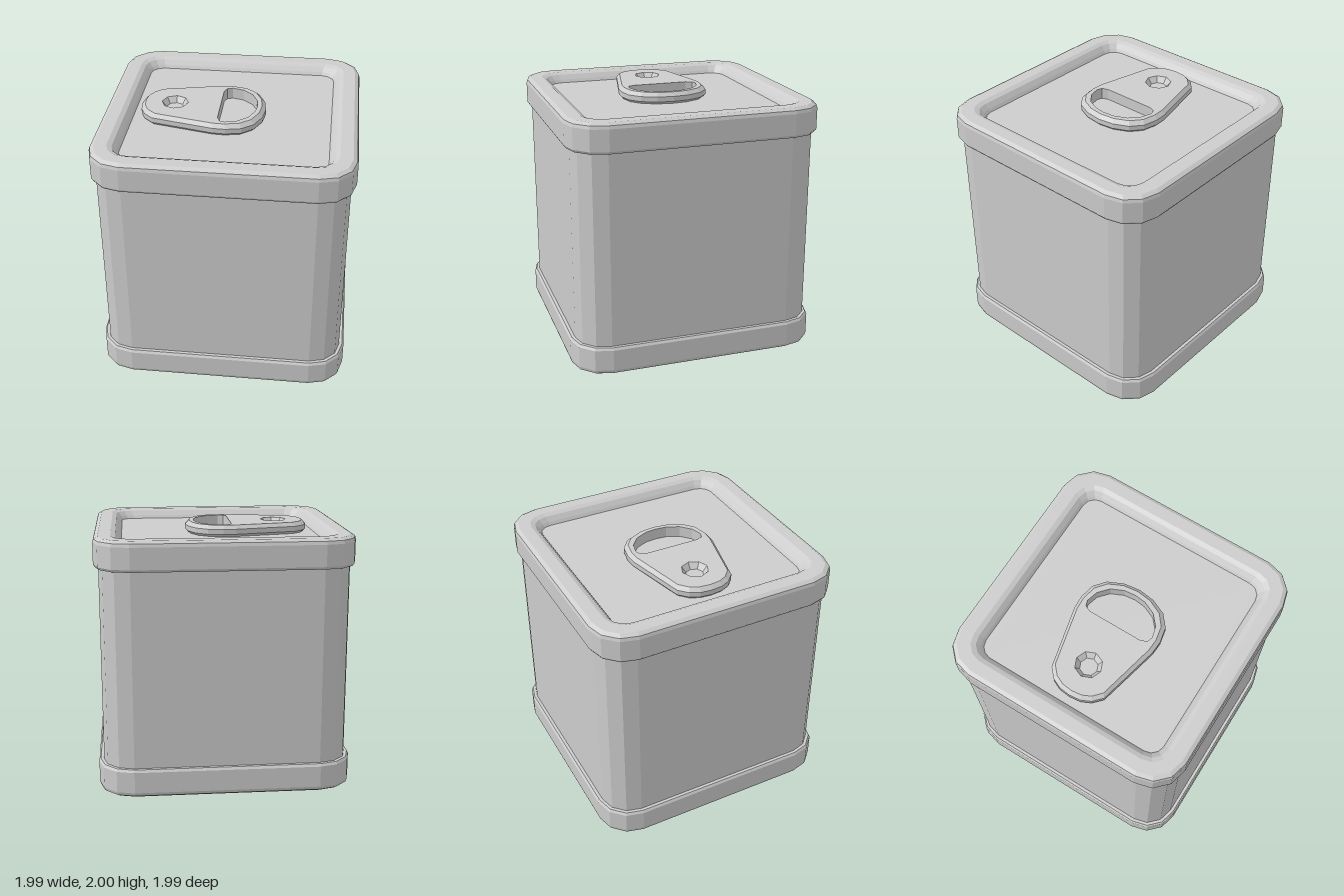
import * as THREE from 'three';

const metal = new THREE.MeshStandardMaterial({ color: 0xcccccc });
metal.name = 'tin grey';

// Rounded square, counter-clockwise seen from above, as [x, -z] points.
function roundedSquare(half, radius, segments = 3) {
  const points = [];
  const c = half - radius;
  for (let corner = 0; corner < 4; corner++) {
    const start = corner * Math.PI / 2;
    const cx = c * (corner === 0 || corner === 3 ? 1 : -1);
    const cy = c * (corner < 2 ? 1 : -1);
    for (let i = 0; i <= segments; i++) {
      const a = start + i / segments * Math.PI / 2;
      points.push([cx + radius * Math.cos(a), cy + radius * Math.sin(a)]);
    }
  }
  return points;
}

// Faceted skin through closed rings of { points, y }.
function loft(rings) {
  const pos = [];
  const at = (i, j) => {
    const r = rings[i];
    const p = r.points[j % r.points.length];
    return [p[0], r.y, -p[1]];
  };
  for (let i = 0; i < rings.length - 1; i++) {
    for (let j = 0; j < rings[i].points.length; j++) {
      const a = at(i, j), b = at(i, j + 1), c = at(i + 1, j + 1), d = at(i + 1, j);
      pos.push(...a, ...b, ...c, ...a, ...c, ...d);
    }
  }
  const geometry = new THREE.BufferGeometry();
  geometry.setAttribute('position', new THREE.Float32BufferAttribute(pos, 3));
  geometry.computeVertexNormals();
  return geometry;
}

// Flat horizontal face, optionally with holes, facing up or down.
function cap(points, y, holes = [], up = true) {
  const vectors = list => list.map(p => new THREE.Vector2(p[0], p[1]));
  const shape = new THREE.Shape(vectors(points));
  holes.forEach(h => shape.holes.push(new THREE.Path(vectors(h))));
  return new THREE.ShapeGeometry(shape).rotateX(up ? -Math.PI / 2 : Math.PI / 2).translate(0, y, 0);
}

// Completes an outline from its half, listed from the right end to the left end.
function mirrorHalf(half) {
  const back = half.filter(p => p[1] > 0).reverse().map(([x, y]) => [x, -y]);
  return [...half, ...back];
}

function add(group, name, geometry) {
  const mesh = new THREE.Mesh(geometry, metal);
  mesh.name = name;
  group.add(mesh);
}

export function createModel() {
  const tin = new THREE.Group();
  tin.name = 'squareTin';

  // Rim cross-section from body wall to recessed panel: half width, corner radius, height above panel end
  const rim = [
    [0.955, 0.235, 1.76], [0.98, 0.26, 1.76], [0.993, 0.273, 1.78], [0.993, 0.273, 1.945],
    [0.985, 0.265, 1.97], [0.955, 0.24, 1.988], [0.86, 0.16, 1.988], [0.825, 0.135, 1.972],
    [0.795, 0.115, 1.935], [0.78, 0.105, 1.91],
  ];
  const rimRings = rim.map(([half, radius, y]) => ({ points: roundedSquare(half, radius), y }));
  const baseRings = rim.map(([half, radius, y]) => ({
    points: roundedSquare(half, radius),
    y: y < 1.8 ? 1.99 - y : 1.988 - y,
  })).reverse();

  // Can body, rims and recessed panels
  const wall = roundedSquare(0.955, 0.235);
  add(tin, 'body', loft([{ points: wall, y: 0.2 }, { points: wall, y: 1.8 }]));
  add(tin, 'lidRim', loft(rimRings));
  add(tin, 'baseRim', loft(baseRings));
  const panel = roundedSquare(0.78, 0.105);
  add(tin, 'lidPanel', cap(panel, 1.91));
  add(tin, 'basePanel', cap(panel, 0.078, [], false));

  // Pull tab with a finger slot and a dimpled rivet
  const tab = new THREE.Group();
  tab.name = 'pullTab';
  tin.add(tab);
  const outline = mirrorHalf([
    [0.262, 0], [0.245, 0.13], [0.19, 0.25], [0.1, 0.325], [-0.02, 0.35], [-0.12, 0.345],
    [-0.61, 0.23], [-0.68, 0.165], [-0.715, 0.09], [-0.725, 0],
  ]);
  const middle = -0.23;
  const inset = d => outline.map(([x, y]) => [
    middle + (x - middle) * (1 - d / 0.49), y * (1 - d / 0.35),
  ]);
  const slot = mirrorHalf([
    [0.195, 0], [0.185, 0.09], [0.14, 0.19], [0.06, 0.26], [-0.03, 0.285],
    [-0.075, 0.27], [-0.095, 0.22], [-0.095, 0],
  ]);
  const octagon = r => Array.from({ length: 8 }, (_, i) => [
    -0.46 + r * Math.cos(i * Math.PI / 4), r * Math.sin(i * Math.PI / 4),
  ]);
  add(tab, 'tabEdge', loft([
    { points: inset(0.02), y: 1.91 }, { points: inset(0), y: 1.93 },
    { points: inset(0), y: 1.97 }, { points: inset(0.03), y: 2 },
  ]));
  add(tab, 'tabTop', cap(inset(0.03), 2, [slot, octagon(0.105)]));
  add(tab, 'fingerSlotWall', loft([{ points: slot, y: 2 }, { points: slot, y: 1.91 }]));
  add(tab, 'rivetWall', loft([{ points: octagon(0.105), y: 2 }, { points: octagon(0.07), y: 1.955 }]));
  add(tab, 'rivetFloor', cap(octagon(0.07), 1.955));

  return tin;
}
